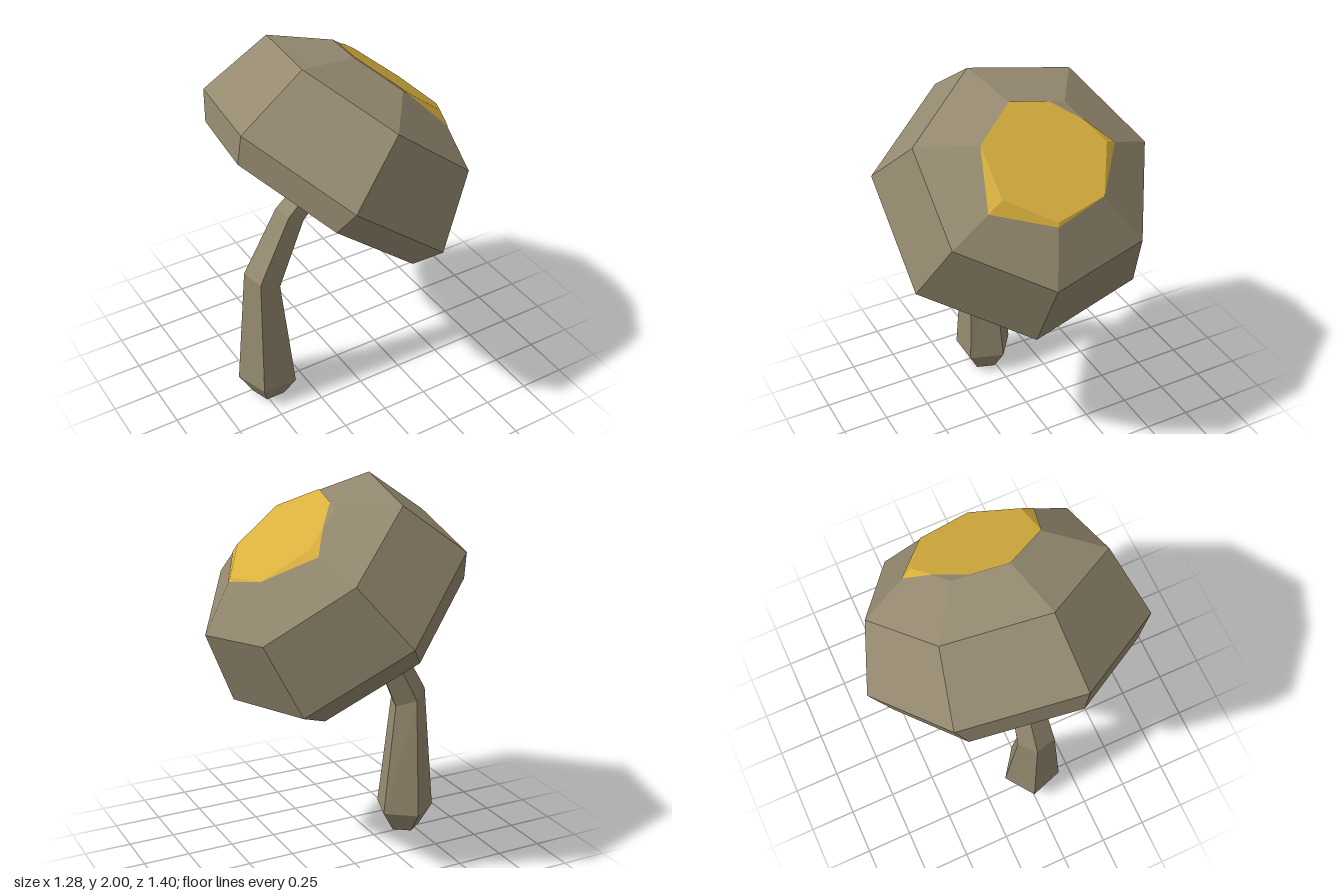
import * as THREE from 'three';

const brown = new THREE.MeshStandardMaterial({ color: 0x958a70 });
brown.name = 'mushroom brown';
const yellow = new THREE.MeshStandardMaterial({ color: 0xd9b03e });
yellow.name = 'golden yellow';

// Regular polygon centred at (x, y, z), tipped towards +x by tilt; corner 0 points to -z
function ring(sides, x, y, z, r, tilt) {
  return Array.from({ length: sides }, (_, k) => {
    const a = (k / sides) * Math.PI * 2;
    const u = r * Math.sin(a);
    return new THREE.Vector3(x + u * Math.cos(tilt), y - u * Math.sin(tilt), z - r * Math.cos(a));
  });
}

// Faceted mesh from a list of triangle corners
function facetMesh(name, corners, material) {
  const geometry = new THREE.BufferGeometry().setFromPoints(corners);
  geometry.computeVertexNormals();
  const mesh = new THREE.Mesh(geometry, material);
  mesh.name = name;
  return mesh;
}

// Closed solid through a stack of rings, bottom to top
function loft(name, rings, material) {
  const n = rings[0].length;
  const tris = [];
  for (let i = 0; i < rings.length - 1; i++) {
    const lo = rings[i], hi = rings[i + 1];
    for (let k = 0; k < n; k++) {
      const j = (k + 1) % n;
      tris.push(lo[j], lo[k], hi[k], lo[j], hi[k], hi[j]);
    }
  }
  const bottom = rings[0], top = rings[rings.length - 1];
  for (let k = 1; k < n - 1; k++) {
    tris.push(bottom[0], bottom[k], bottom[k + 1], top[0], top[k + 1], top[k]);
  }
  return facetMesh(name, tris, material);
}

export function createModel() {
  const group = new THREE.Group();
  group.name = 'mushroom';

  // Bent five-sided stem: x, y, radius, tilt
  const stemRings = [
    [-0.46, 0, 0.088, 0],
    [-0.46, 0.12, 0.163, 0],
    [-0.47, 0.78, 0.103, 0.42],
    [-0.302, 1.125, 0.08, 0.48],
    [-0.13, 1.29, 0.068, 0.75],
  ].map(([x, y, r, t]) => ring(5, x, y, 0.038, r, t));
  group.add(loft('stem', stemRings, brown));

  // Tilted seven-sided cap, stacked along its own axis
  const tilt = 0.681;
  const axis = new THREE.Vector3(Math.sin(tilt), Math.cos(tilt), 0);
  const capRings = [
    [0, 0.642],
    [0.134, 0.736],
    [0.528, 0.614],
    [0.684, 0.326],
  ].map(([h, r]) => ring(7, -0.157 + axis.x * h, 1.212 + axis.y * h, 0.034, r, tilt));
  group.add(loft('cap', capRings, brown));

  // Yellow patch on the crown, spilling a little over its edges
  const C = capRings[2], D = capRings[3];
  const mix = (a, b, t) => a.clone().lerp(b, t);
  const spillFront = mix(D[3], C[3], 0.28);
  const spillLeft = mix(D[2], C[2], 0.07);
  const spillBack = mix(D[0], C[0], 0.2);
  const outline = [D[0], mix(D[0], D[6], 0.53), mix(D[5], D[6], 0.69), D[5], D[4], D[3], D[2], D[1]];
  const tris = [];
  for (let k = 1; k < outline.length - 1; k++) tris.push(outline[0], outline[k], outline[k + 1]);
  tris.push(
    D[4], spillFront, D[3],
    D[3], spillFront, spillLeft,
    D[3], spillLeft, D[2],
    D[2], spillLeft, D[1],
    D[1], spillBack, D[0],
    D[0], spillBack, outline[1],
  );
  const patch = facetMesh('crownPatch', tris, yellow);
  patch.position.copy(axis).multiplyScalar(0.004);
  group.add(patch);

  return group;
}
